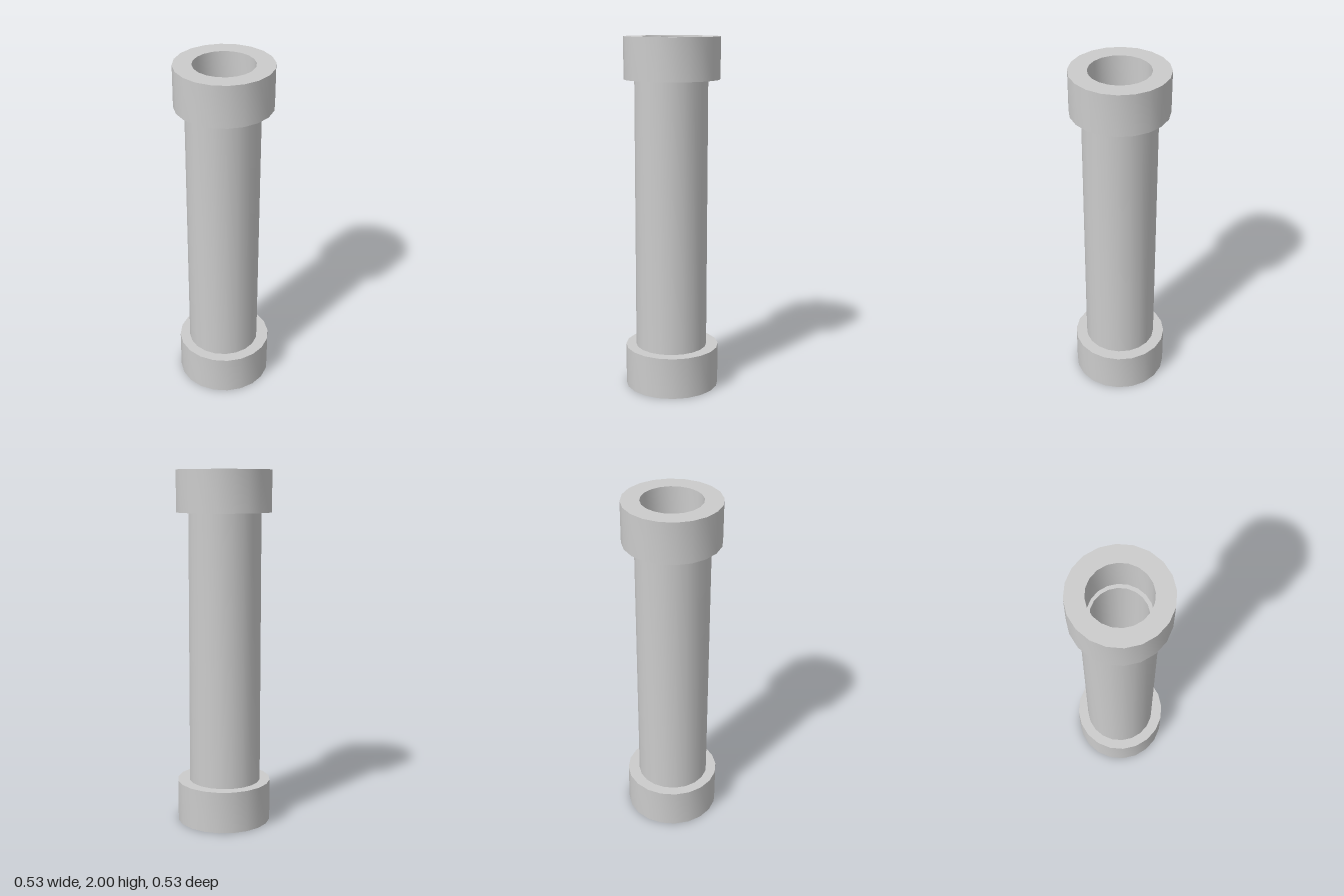
import * as THREE from 'three';
import { toCreasedNormals } from 'three/addons/utils/BufferGeometryUtils.js';

const SIDES = 20;
const material = new THREE.MeshStandardMaterial({ color: 0xcccccc });

// Hollow cylinder with flat ends, standing from y0 to y1
function ring(name, outer, inner, y0, y1) {
  const profile = [[outer, y0], [outer, y1], [inner, y1], [inner, y0], [outer, y0]]
    .map(([r, y]) => new THREE.Vector2(r, y));
  const geometry = toCreasedNormals(new THREE.LatheGeometry(profile, SIDES), Math.PI / 5);
  const mesh = new THREE.Mesh(geometry, material);
  mesh.name = name;
  return mesh;
}

export function createModel() {
  const group = new THREE.Group();
  group.name = 'flangedPipe';

  // Wide collars at both ends
  group.add(ring('bottomCollar', 0.267, 0.167, 0, 0.236));
  group.add(ring('topCollar', 0.267, 0.167, 1.768, 2));

  // Pipe between the collars, sitting slightly off their axis
  const pipe = ring('pipe', 0.204, 0.15, 0.236, 1.768);
  pipe.position.set(-0.002, 0, 0.005);
  group.add(pipe);

  return group;
}
